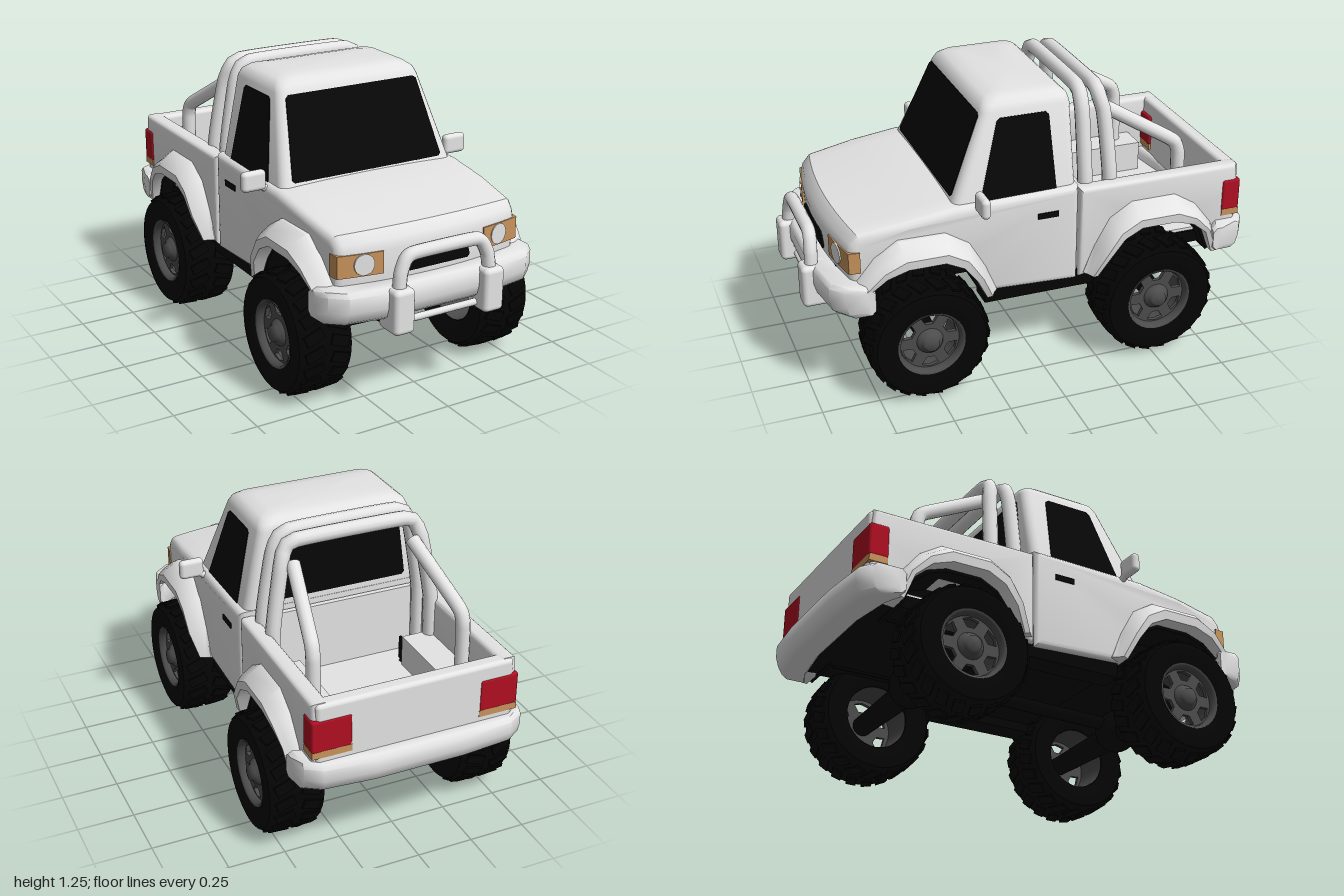
import * as THREE from 'three';
import { mergeGeometries, toCreasedNormals } from 'three/addons/utils/BufferGeometryUtils.js';
import { RoundedBoxGeometry } from 'three/addons/geometries/RoundedBoxGeometry.js';

const V = (x, y, z) => new THREE.Vector3(x, y, z);
const material = (name, color, side = THREE.FrontSide) => Object.assign(new THREE.MeshStandardMaterial({ color, side }), { name });

// Closed skin through equal-sized rings of points, capped at both ends and turned outward.
function loft(rings, crease = 0.6) {
  const tris = [], n = rings[0].length;
  for (let i = 0; i + 1 < rings.length; i++) for (let j = 0; j < n; j++) {
    const k = (j + 1) % n, a = rings[i][j], b = rings[i][k], c = rings[i + 1][k], d = rings[i + 1][j];
    tris.push([a, b, c], [a, c, d]);
  }
  const cap = (r, flip) => {
    const m = r.reduce((s, p) => s.add(p), V(0, 0, 0)).divideScalar(n);
    r.forEach((p, j) => tris.push(flip ? [m, r[(j + 1) % n], p] : [m, p, r[(j + 1) % n]]));
  };
  cap(rings[0], true);
  cap(rings.at(-1), false);
  const volume = tris.reduce((s, [a, b, c]) => s + a.dot(b.clone().cross(c)), 0);
  const points = tris.flatMap(([a, b, c]) => (volume < 0 ? [a, c, b] : [a, b, c]));
  return toCreasedNormals(new THREE.BufferGeometry().setFromPoints(points), crease);
}

// Side profile of [z, y] points extruded across x.
function extrudeX(profile, x0, x1, bevel = 0, steps = 1) {
  const shape = new THREE.Shape(profile.map(([z, y]) => new THREE.Vector2(z, y)));
  return new THREE.ExtrudeGeometry(shape, {
    depth: x1 - x0 - 2 * bevel, steps, bevelEnabled: bevel > 0, bevelSize: bevel, bevelThickness: bevel, bevelOffset: -bevel, bevelSegments: 3,
  }).rotateY(-Math.PI / 2).translate(x1 - bevel, 0, 0);
}

// Rounds the nose in plan and crowns the bonnet.
function bend(geometry) {
  const p = geometry.attributes.position;
  for (let i = 0; i < p.count; i++) {
    const x = p.getX(i), y = p.getY(i), z = p.getZ(i), t = Math.max(0, (z - 0.5) / 0.38);
    const crown = y > 0.7 && z > 0.36 ? 0.05 * x * x : 0;
    p.setXYZ(i, x * (1 - 0.05 * t * t), y - crown, z - 0.24 * x * x * t);
  }
  return toCreasedNormals(geometry.index ? geometry.toNonIndexed() : geometry, 0.6);
}

// Thin plate with clipped corners.
function pane(corners, thick = 0.009) {
  const n = corners[1].clone().sub(corners[0]).cross(corners[3].clone().sub(corners[0])).normalize();
  const ring = corners.flatMap((p, i) => [corners[(i + 3) % 4], corners[(i + 1) % 4]].map(q => p.clone().lerp(q, 0.013 / p.distanceTo(q))));
  return loft([-1, 1].map(s => ring.map(p => p.clone().addScaledVector(n, s * thick / 2))), 0.3);
}

// Horizontal rounded rectangle for the cab sections.
function cabRing(y, hx, zFront, zBack, r) {
  const ring = [], zc = (zFront + zBack) / 2, hz = (zFront - zBack) / 2;
  [[1, 1], [-1, 1], [-1, -1], [1, -1]].forEach(([sx, sz], q) => {
    for (let k = 0; k <= 4; k++) {
      const a = (q + k / 4) * Math.PI / 2;
      ring.push(V(sx * (hx - r) + r * Math.cos(a), y, zc + sz * (hz - r) + r * Math.sin(a)));
    }
  });
  return ring;
}

// Wheel arch edges, relative to the wheel centre: [z, y]. The front arch leaves out the first point, where the bumper sits.
const archInner = [[0.28, 0.42], [0.24, 0.53], [0.17, 0.59], [0.08, 0.62], [-0.08, 0.62], [-0.16, 0.58], [-0.22, 0.5], [-0.27, 0.4]];
const archOuter = [[0.33, 0.43], [0.28, 0.55], [0.2, 0.65], [0.1, 0.71], [-0.1, 0.71], [-0.2, 0.65], [-0.27, 0.53], [-0.32, 0.41]];
const flareWidth = [0.5, 0.515, 0.53, 0.535, 0.535, 0.535, 0.53, 0.5];
const frontArch = list => list.slice(1).map(([z, y]) => [0.53 + z, y]);
const rearArch = list => list.map(([z, y]) => [-0.52 - z, y]);

export function createModel() {
  const model = new THREE.Group();
  model.name = 'pickupTruck';
  const paint = material('whitePaint', 0xe4e4e4), glass = material('darkGlass', 0x070707), rubber = material('blackRubber', 0x040404);
  const metal = material('greyWheel', 0x4c4c4c, THREE.DoubleSide), amber = material('amberLamp', 0xc8935c), red = material('redLamp', 0xb00f22);
  const add = (name, geometry, mat, parent = model) => {
    const mesh = new THREE.Mesh(geometry, mat);
    mesh.name = name;
    parent.add(mesh);
    return mesh;
  };
  const box = (name, x0, x1, y0, y1, z0, z1, mat, r = 0) => {
    const size = [Math.abs(x1 - x0), y1 - y0, z1 - z0];
    const g = r ? new RoundedBoxGeometry(...size, 3, r) : new THREE.BoxGeometry(...size);
    return add(name, g.translate((x0 + x1) / 2, (y0 + y1) / 2, (z0 + z1) / 2), mat);
  };
  const tube = (name, points, r, mat, tension = 0.3) =>
    add(name, new THREE.TubeGeometry(new THREE.CatmullRomCurve3(points, false, 'catmullrom', tension), 48, r, 12), mat);

  // Bonnet, wings and doors in one shell
  const shell = [[0.875, 0.53], [0.885, 0.69], [0.872, 0.735], [0.835, 0.77], [0.6, 0.805], [0.38, 0.832], [-0.172, 0.832], [-0.172, 0.38],
    ...frontArch(archInner).reverse()];
  add('frontBody', bend(extrudeX(shell, -0.455, 0.455, 0.03, 12)), paint);

  // Cab with windows on its sloping faces
  add('cab', loft([cabRing(0.78, 0.434, 0.4, -0.17, 0.04), cabRing(1.18, 0.352, 0.23, -0.17, 0.04), cabRing(1.208, 0.34, 0.217, -0.163, 0.045),
    cabRing(1.228, 0.315, 0.19, -0.14, 0.05), cabRing(1.238, 0.26, 0.13, -0.09, 0.05)], 0.7), paint);
  const frontZ = y => 0.4 - 0.425 * (y - 0.78), sideX = y => 0.434 - 0.205 * (y - 0.78);
  add('windshield', pane([V(-0.372, 0.838, frontZ(0.838)), V(0.372, 0.838, frontZ(0.838)), V(0.322, 1.174, frontZ(1.174)), V(-0.322, 1.174, frontZ(1.174))]), glass);
  add('rearWindow', pane([V(-0.33, 0.86, -0.17), V(0.33, 0.86, -0.17), V(0.29, 1.16, -0.17), V(-0.29, 1.16, -0.17)]), glass);

  // Load bed
  box('bedFloor', -0.39, 0.39, 0.485, 0.5, -0.9, -0.185, paint);
  box('bedFrontWall', -0.44, 0.44, 0.42, 0.81, -0.205, -0.18, paint);
  box('tailgate', -0.44, 0.44, 0.44, 0.81, -0.94, -0.87, paint, 0.02);
  const bedSide = [[-0.178, 0.812], [-0.178, 0.39], ...rearArch(archInner).reverse(), [-0.925, 0.44], [-0.935, 0.7], [-0.925, 0.812]];

  // Dark underside
  box('underbodyMiddle', -0.43, 0.43, 0.375, 0.42, -0.25, 0.25, rubber);
  box('underbodyRear', -0.4, 0.4, 0.43, 0.486, -0.93, -0.19, rubber);
  box('underbodyFront', -0.29, 0.29, 0.42, 0.56, 0.2, 0.86, rubber);

  // Bumpers: chamfered sections along x
  const bumper = (name, half, dir, y0, y1) => {
    const list = [...half.map(([x, a, b]) => [-x, a, b]), ...half.slice().reverse()];
    add(name, loft(list.map(([x, a, b], i) => {
      const e = i === 0 || i === list.length - 1 ? 0.012 : 0, c = 0.018;
      return [[a, y0 + c], [a + c, y0], [b - 2 * c, y0], [b - c * 0.7, y0 + c], [b, y0 + 0.06], [b, y1 - c], [b - c, y1], [a + c, y1], [a, y1 - c]]
        .map(([z, y]) => V(x, y + (y > 0.49 ? -e : e), dir * z));
    }), 0.8), paint);
  };
  bumper('frontBumper', [[0.515, 0.75, 0.81], [0.495, 0.75, 0.87], [0.43, 0.79, 0.925], [0.25, 0.84, 0.955]], 1, 0.42, 0.56);
  bumper('rearBumper', [[0.51, 0.8, 0.86], [0.49, 0.8, 0.935], [0.42, 0.83, 0.98], [0.2, 0.86, 1]], -1, 0.42, 0.55);

  // Bull bar and grille
  tube('bullBar', [V(-0.22, 0.53, 0.95), V(-0.21, 0.61, 0.945), V(-0.185, 0.665, 0.94), V(-0.14, 0.685, 0.938), V(0.14, 0.685, 0.938),
    V(0.185, 0.665, 0.94), V(0.21, 0.61, 0.945), V(0.22, 0.53, 0.95)], 0.029, paint);
  tube('lowerBar', [V(-0.2, 0.4, 0.93), V(0.2, 0.4, 0.93)], 0.015, paint);
  add('grille', pane([V(-0.17, 0.585, 0.88), V(0.17, 0.585, 0.88), V(0.15, 0.657, 0.884), V(-0.15, 0.657, 0.884)]), glass);

  // Roll bar hoops
  [[-0.23, -0.23, 1.21], [-0.345, -0.312, 1.203]].forEach(([zb, zt, y]) => {
    const half = [[0.375, 0.5, zb], [0.37, 0.82, zb], [0.325, 1.1, (zb + zt) / 2], [0.3, 1.17, zt], [0.24, y, zt]];
    tube('rollHoop', [...half.map(([x, h, z]) => V(-x, h, z)), ...half.reverse().map(([x, h, z]) => V(x, h, z))], 0.033, paint);
  });

  for (const s of [1, -1]) {
    const span = (a, b) => (s > 0 ? [a, b] : [-b, -a]);
    add('bedSide', toCreasedNormals(extrudeX(bedSide, ...span(0.378, 0.455), 0.02), 0.6), paint);
    box('wheelHousingTop', s * 0.245, s * 0.39, 0.605, 0.64, -0.78, -0.34, paint);
    box('wheelHousingSide', s * 0.245, s * 0.262, 0.48, 0.64, -0.78, -0.34, paint);
    for (const z of [-0.34, -0.78]) box('wheelHousingEnd', s * 0.245, s * 0.39, 0.48, 0.64, z - 0.006, z + 0.006, paint);
    box('sill', s * 0.32, s * 0.43, 0.335, 0.4, -0.25, 0.25, rubber);

    // Fender flares with dark arch liners and inner panels
    for (const [c, place] of [[0.53, frontArch], [-0.52, rearArch]]) {
      const inner = place(archInner), outer = place(archOuter), widths = flareWidth.slice(-inner.length);
      add('fenderFlare', loft(inner.map(([zi, yi], i) => {
        const [zo, yo] = outer[i], w = widths[i];
        const at = (x, t) => V(s * x, yo + (yi - yo) * t, zo + (zi - zo) * t);
        return [at(0.42, -0.1), at(0.458, -0.1), at(w - 0.025, 0.25), at(w, 0.55), at(w - 0.005, 1), at(0.42, 1)];
      }), 0.7), paint);
      const liner = inner.map(([z, y]) => [c + (z - c) * 0.96, 0.27 + (y - 0.27) * 0.96]).reverse();
      add('archLiner', extrudeX([...inner, ...liner], ...span(0.25, 0.46)), rubber);
      box('archPanel', s * 0.263, s * 0.275, 0.42, 0.605, c - 0.25, c + 0.25, rubber);
    }

    // Side window, handle and mirror
    const q = [[0.268, 0.812], [-0.076, 0.812], [-0.062, 1.157], [0.165, 1.157]].map(([z, y]) => V(s * (sideX(y) + 0.001), y, z));
    add('sideWindow', pane(q, 0.006), glass);
    box('doorHandle', s * 0.45, s * 0.46, 0.71, 0.736, -0.075, 0.018, glass);
    box('mirror', s * 0.45, s * 0.562, 0.803, 0.892, 0.262, 0.302, paint, 0.0195);
    tube('mirrorArm', [V(s * 0.4, 0.775, 0.275), V(s * 0.47, 0.82, 0.28)], 0.016, paint);

    // Lamps
    const lamp = new THREE.BoxGeometry(0.205, 0.095, 0.056, 6, 1, 4).translate(s * 0.3585, 0.643, 0.863);
    add('headlight', bend(lamp), amber);
    add('headlightLens', bend(new THREE.CylinderGeometry(0.045, 0.045, 0.008, 24).rotateX(Math.PI / 2).translate(s * 0.345, 0.645, 0.893)), paint);
    box('tailLamp', s * 0.285, s * 0.461, 0.595, 0.742, -0.944, -0.857, red, 0.012);
    box('rearIndicator', s * 0.285, s * 0.459, 0.57, 0.6, -0.942, -0.86, amber);

    // Bull bar guards and slanted bed braces
    box('bumperGuard', s * 0.168, s * 0.266, 0.368, 0.56, 0.87, 1, paint, 0.022);
    tube('rollBarBrace', [V(s * 0.275, 1.11, -0.34), V(s * 0.33, 0.94, -0.63), V(s * 0.337, 0.91, -0.67), V(s * 0.34, 0.86, -0.685), V(s * 0.34, 0.63, -0.69)], 0.031, paint, 0.2);
  }

  // Wheel geometry, axis along x with the outside toward +x
  const lathe = points => new THREE.LatheGeometry(points.map(([r, y]) => new THREE.Vector2(r, y)), 48).rotateZ(-Math.PI / 2);
  const tire = toCreasedNormals(lathe([[0.142, -0.105], [0.17, -0.125], [0.215, -0.13], [0.24, -0.122], [0.253, -0.1], [0.259, -0.06], [0.26, 0],
    [0.259, 0.06], [0.253, 0.1], [0.24, 0.122], [0.215, 0.13], [0.17, 0.125], [0.142, 0.105], [0.142, -0.105]]).toNonIndexed(), 0.7);
  const blocks = [];
  for (let i = 0; i < 22; i++) for (const e of [-1, 1]) {
    const block = new THREE.BoxGeometry(0.085, 0.022, 0.045).rotateY(e * 0.35).rotateZ(-e * 0.06).translate(e * 0.058, 0.253, 0);
    blocks.push(block.rotateX((i + (e > 0 ? 0.5 : 0)) * Math.PI / 11));
  }
  const tread = mergeGeometries(blocks);
  const disc = new THREE.Shape().absarc(0, 0, 0.14, 0, Math.PI * 2);
  for (let i = 0; i < 6; i++) {
    const a = i * Math.PI / 3 + Math.PI / 6;
    disc.holes.push(new THREE.Path([[0.082, -0.2], [0.12, -0.32], [0.125, 0], [0.12, 0.32], [0.082, 0.2]]
      .map(([r, t]) => new THREE.Vector2(r * Math.cos(a + t), r * Math.sin(a + t)))));
  }
  const spokes = new THREE.ExtrudeGeometry(disc, { depth: 0.018, bevelEnabled: false, curveSegments: 24 }).rotateY(Math.PI / 2).translate(0.065, 0, 0);
  const barrel = lathe([[0.148, 0.114], [0.136, 0.11], [0.128, 0.085], [0.14, 0.06], [0.14, -0.1]]);
  const hub = lathe([[0, 0.12], [0.033, 0.118], [0.036, 0.102], [0.05, 0.098], [0.06, 0.08]]);

  for (const z of [0.53, -0.52]) {
    for (const s of [1, -1]) {
      const wheel = new THREE.Group();
      wheel.name = 'wheel';
      wheel.position.set(s * 0.445, 0.265, z);
      wheel.rotation.y = s > 0 ? 0 : Math.PI;
      add('tire', tire, rubber, wheel);
      add('tread', tread, rubber, wheel);
      add('rimSpokes', spokes, metal, wheel);
      add('rimBarrel', barrel, metal, wheel);
      add('hub', hub, metal, wheel);
      model.add(wheel);
      // Axle half, tapering outward
      add('axle', new THREE.CylinderGeometry(0.045, 0.058, 0.5, 16).rotateZ(-s * Math.PI / 2).translate(s * 0.25, 0.272, z), rubber);
    }
    add('differential', new THREE.SphereGeometry(0.096, 24, 16).translate(0, 0.287, z), rubber);
  }
  tube('driveShaft', [V(0, 0.31, 0.5), V(0, 0.33, -0.5)], 0.03, rubber);
  return model;
}
